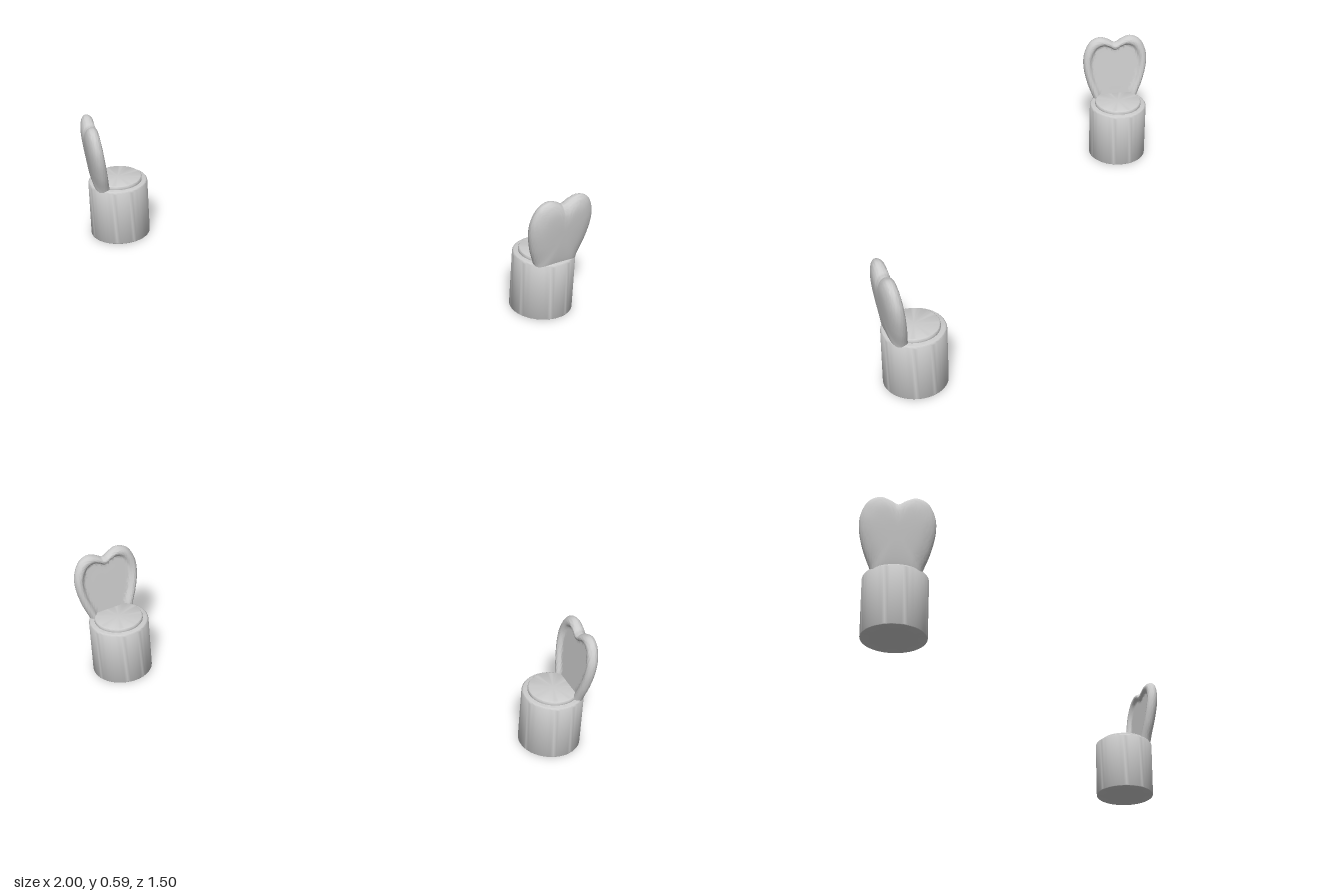
import * as THREE from 'three';
import { toCreasedNormals } from 'three/addons/utils/BufferGeometryUtils.js';

const material = new THREE.MeshStandardMaterial({ color: 0xcccccc });
const v2 = ([x, y]) => new THREE.Vector2(x, y);

function mesh(name, geometry, crease = 0.6) {
  const m = new THREE.Mesh(toCreasedNormals(geometry, crease), material);
  m.name = name;
  return m;
}

// Round solid with softened top and bottom rims
function roundedDisc(radius, y0, y1, bevelBottom, bevelTop) {
  const points = [[0, y0], [radius - bevelBottom, y0]];
  const arc = (bevel, y, sign, start) => {
    for (let i = 0; i <= 4; i++) {
      const a = start + (i / 4) * Math.PI / 2;
      points.push([radius - bevel + bevel * Math.cos(a), y - sign * bevel + bevel * Math.sin(a)]);
    }
  };
  arc(bevelBottom, y0, -1, -Math.PI / 2);
  arc(bevelTop, y1, 1, 0);
  points.push([0, y1]);
  return new THREE.LatheGeometry(points.map(v2), 64);
}

// Heart-topped backrest: the outline is swept inward along a padded cross-section
function backrestGeometry() {
  const half = [[0.085, 0.2], [0.108, 0.27], [0.138, 0.35], [0.157, 0.44], [0.153, 0.505],
    [0.122, 0.565], [0.076, 0.585], [0.035, 0.573]];
  const mirrored = half.map(([x, y]) => [-x, y]).reverse();
  const loop = [[0, 0.2], ...half, [0, 0.555], ...mirrored];
  const outline = new THREE.CatmullRomCurve3(
    loop.map(([x, y]) => new THREE.Vector3(x, y, 0)), true).getSpacedPoints(120).slice(0, 120);

  // inset scale and depth, from the domed outside round the rim to the sunken inner panel
  const section = new THREE.SplineCurve([[0, 0.04], [0.35, 0.039], [0.65, 0.034], [0.85, 0.023],
    [0.96, 0.01], [1, -0.004], [0.975, -0.019], [0.91, -0.029], [0.83, -0.029], [0.78, -0.023],
    [0.74, -0.016], [0.68, -0.014], [0.35, -0.014], [0, -0.014]].map(v2)).getPoints(52);

  const centreY = 0.42, positions = [], index = [], n = outline.length;
  section.forEach(({ x: s, y: depth }, i) => {
    outline.forEach((p, j) => {
      const y = centreY + (p.y - centreY) * s;
      positions.push(p.x * s, y, depth + 0.085 + 0.12 * (y - 0.27)); // leaning outward
      if (i === section.length - 1) return;
      const k = (j + 1) % n, a = i * n + j, b = a + n, c = (i + 1) * n + k, d = i * n + k;
      if (i > 0) index.push(a, c, d);
      if (i < section.length - 2) index.push(a, b, c);
      else index.push(a, b, d);
      if (i === 0) index.splice(-3, 3, a, b, c);
      if (i === section.length - 2) index.splice(-6, 6, a, b, d);
    });
  });
  const g = new THREE.BufferGeometry();
  g.setAttribute('position', new THREE.Float32BufferAttribute(positions, 3));
  g.setIndex(index);
  return g;
}

function createChair(name, x, z, turn) {
  const chair = new THREE.Group();
  chair.name = name;
  chair.add(
    mesh('base', roundedDisc(0.138, 0, 0.273, 0.004, 0.012)),
    mesh('seatCushion', roundedDisc(0.112, 0.265, 0.29, 0.004, 0.008)),
    mesh('backrest', backrestGeometry(), 1.0),
  );
  chair.position.set(x, 0, z);
  chair.rotation.y = turn;
  return chair;
}

export function createModel() {
  const model = new THREE.Group();
  model.name = 'chairPair';
  model.add(
    createChair('frontChair', -0.82, 0.585, -0.33),
    createChair('backChair', 0.843, -0.602, 1.46),
  );
  return model;
}
